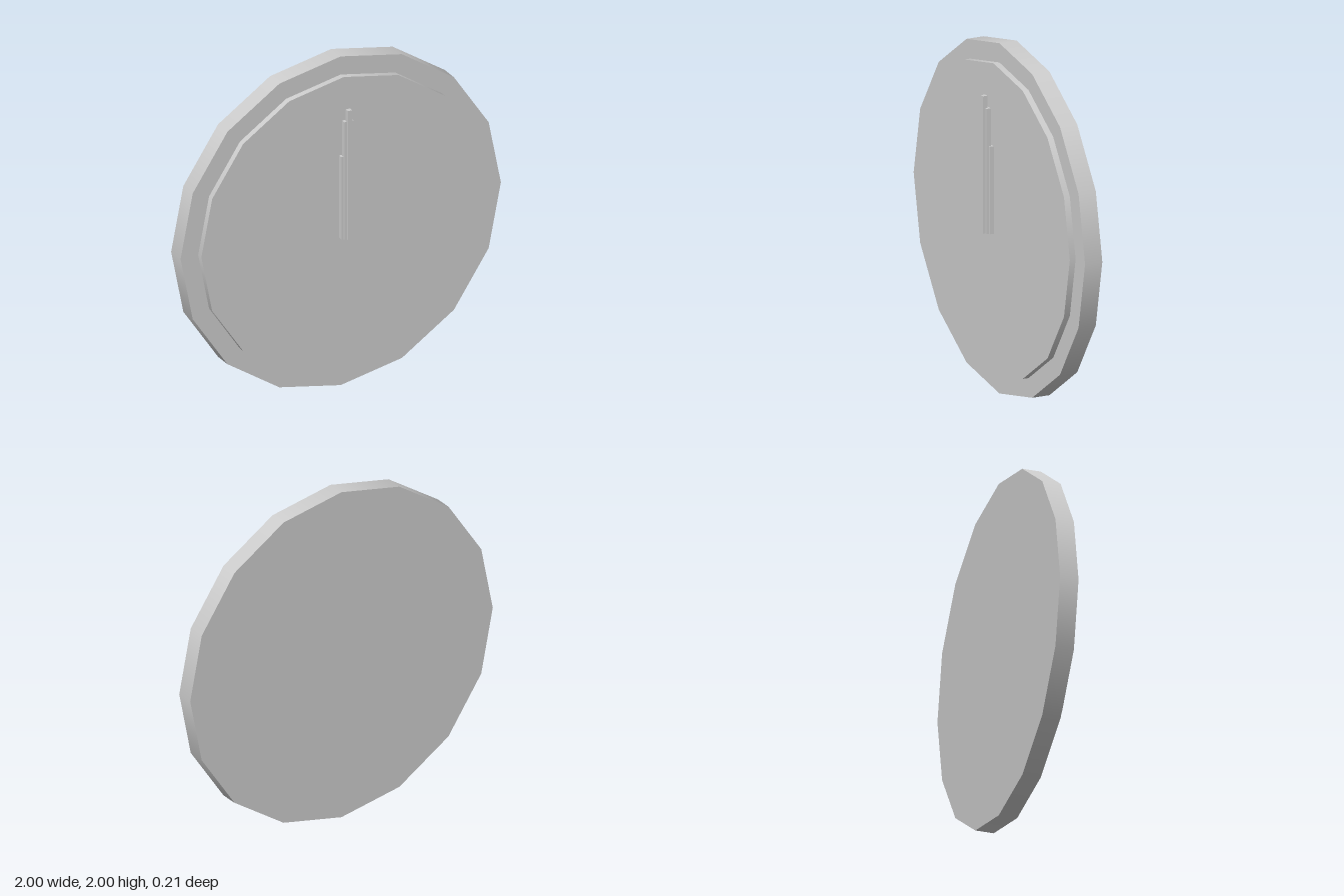
import * as THREE from 'three';

export function createModel() {
  const clock = new THREE.Group();
  clock.name = 'wallClock';
  const grey = new THREE.MeshStandardMaterial({ color: 0xcccccc });
  grey.name = 'light grey';

  // Sixteen-sided disc facing +z, spanning z0 to z1
  function disc(name, radius, z0, z1) {
    const geo = new THREE.CylinderGeometry(radius, radius, z1 - z0, 16);
    geo.rotateX(Math.PI / 2);
    const mesh = new THREE.Mesh(geo, grey);
    mesh.name = name;
    mesh.position.set(0, 1, (z0 + z1) / 2);
    clock.add(mesh);
  }

  // Upright hand, starting just below the centre of the dial
  function hand(name, width, top, z0, z1) {
    const bottom = 0.93;
    const mesh = new THREE.Mesh(new THREE.BoxGeometry(width, top - bottom, z1 - z0), grey);
    mesh.name = name;
    mesh.position.set(0, (top + bottom) / 2, (z0 + z1) / 2);
    clock.add(mesh);
  }

  disc('case', 1, -0.107, 0);
  disc('dial', 0.89, 0, 0.036);

  hand('hourHand', 0.08, 1.43, 0.055, 0.08);
  hand('minuteHand', 0.056, 1.645, 0.068, 0.094);
  hand('secondHand', 0.027, 1.715, 0.081, 0.107);

  return clock;
}
